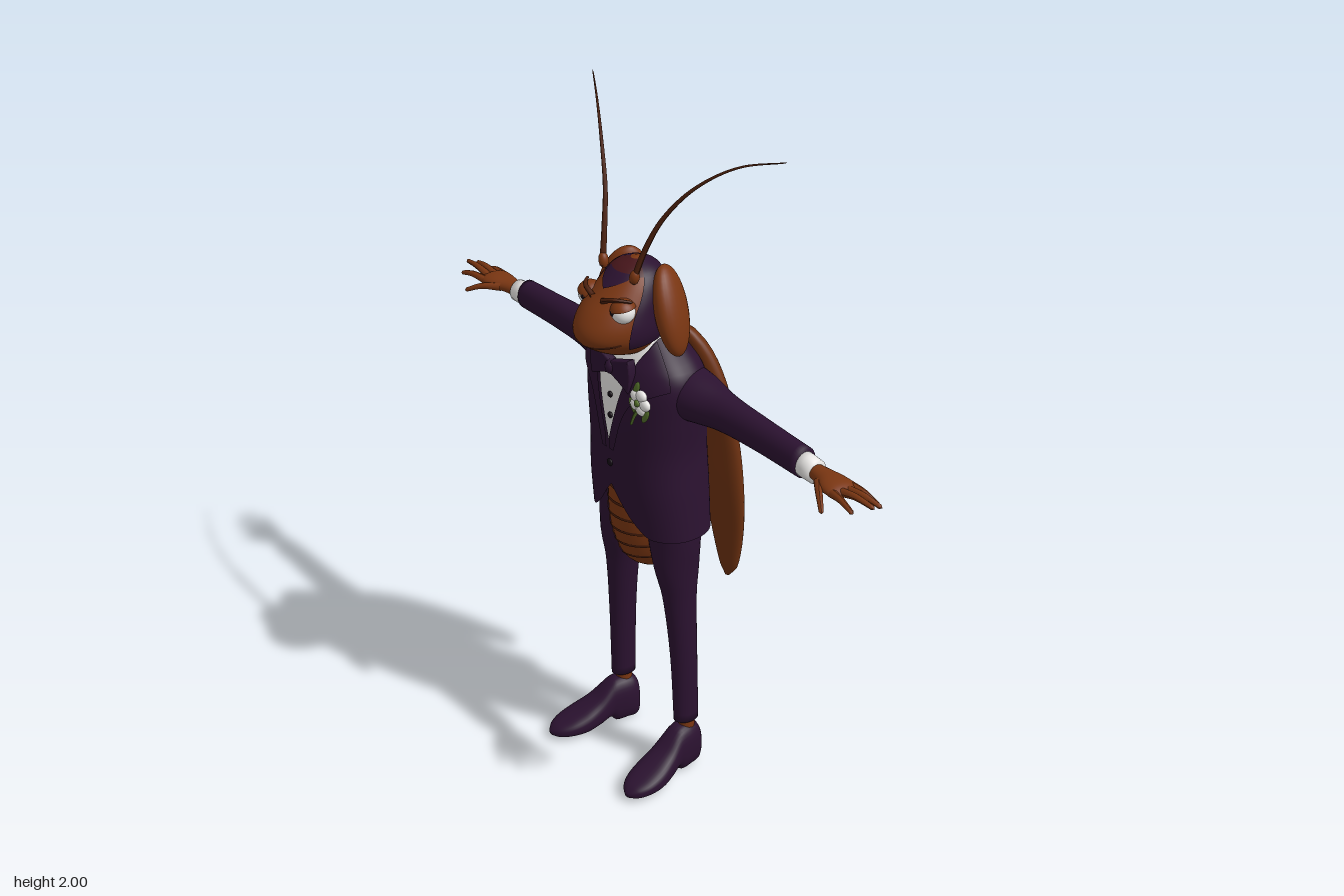
import * as THREE from 'three';
import { mergeVertices } from 'three/addons/utils/BufferGeometryUtils.js';

const mat = (name, color) => {
  const m = new THREE.MeshStandardMaterial({ color, side: THREE.DoubleSide });
  m.name = name;
  return m;
};

// smooth interpolation of a table whose first column is the position
function sample(rows, a) {
  const n = rows.length - 1;
  let i = 0;
  while (i < n - 1 && a > rows[i + 1][0]) i++;
  const p = rows[i], q = rows[i + 1], o = rows[Math.max(i - 1, 0)], r = rows[Math.min(i + 2, n)];
  const h = q[0] - p[0], t = THREE.MathUtils.clamp((a - p[0]) / h, 0, 1), t2 = t * t, t3 = t2 * t;
  return p.slice(1).map((v, k) => {
    const w = q[k + 1], m0 = (w - o[k + 1]) / (q[0] - o[0]), m1 = (r[k + 1] - v) / (r[0] - p[0]);
    return (2 * t3 - 3 * t2 + 1) * v + (t3 - 2 * t2 + t) * h * m0 + (3 * t2 - 2 * t3) * w + (t3 - t2) * h * m1;
  });
}

const spow = (v, p) => Math.sign(v) * Math.abs(v) ** p;

// surface over elliptical sections; rows: [along, centre u, centre v, radius u, radius v]
function surf(rows, { axis = 'y', th = [0, 2 * Math.PI], lo, hi, d = 0, p = 1, nu = 32, nv = 28, cap = true } = {}) {
  const full = th[1] - th[0] > 6.28, pos = [], idx = [];
  const put = (u, a, v) => pos.push(...(axis === 'y' ? [u, a, v] : axis === 'x' ? [a, u, v] : [u, v, a]));
  const lim = (f, def, t) => (f === undefined ? def : typeof f === 'function' ? f(t) : f);
  const caps = full && cap ? 1 : 0;
  for (let j = -caps; j <= nv + caps; j++) {
    const f = THREE.MathUtils.clamp(j / nv, 0, 1), r = j < 0 || j > nv ? 0 : 1;
    for (let i = 0; i <= nu; i++) {
      const t = th[0] + (th[1] - th[0]) * i / nu;
      const a = THREE.MathUtils.lerp(lim(lo, rows[0][0], t), lim(hi, rows.at(-1)[0], t), f);
      const [cu, cv, ru, rv] = sample(rows, a);
      put(cu + r * (ru + d) * spow(Math.sin(t), p), a, cv + r * (rv + d) * spow(Math.cos(t), p));
    }
  }
  const w = nu + 1;
  for (let j = 0; j < nv + 2 * caps; j++) for (let i = 0; i < nu; i++) {
    const a = j * w + i, b = a + 1, c = a + w, e = c + 1;
    idx.push(...(axis === 'y' ? [a, b, c, b, e, c] : [a, c, b, b, c, e]));
  }
  let g = new THREE.BufferGeometry();
  g.setAttribute('position', new THREE.Float32BufferAttribute(pos, 3));
  g.setIndex(idx);
  g = mergeVertices(g, 1e-5);
  g.computeVertexNormals();
  return g;
}

// tube that thins from r0 to r1 and closes at the tip
function taper(points, r0, r1, n = 16, sides = 10) {
  const curve = new THREE.CatmullRomCurve3(points.map(q => new THREE.Vector3(...q)));
  const g = new THREE.TubeGeometry(curve, n, 1, sides), P = g.attributes.position, v = new THREE.Vector3();
  for (let i = 0; i < P.count; i++) {
    const t = Math.floor(i / (sides + 1)) / n, c = curve.getPointAt(t);
    v.fromBufferAttribute(P, i).sub(c).multiplyScalar(t === 1 ? 0 : r0 + (r1 - r0) * t).add(c);
    P.setXYZ(i, v.x, v.y, v.z);
  }
  g.computeVertexNormals();
  return g;
}

const ball = (x, y, z, a, b, c, rx = 0, ry = 0, rz = 0) =>
  new THREE.SphereGeometry(1, 28, 20).scale(a, b, c).rotateX(rx).rotateY(ry).rotateZ(rz).translate(x, y, z);

function mirrored(g) {
  const m = g.clone().scale(-1, 1, 1), a = m.index.array;
  for (let i = 0; i < a.length; i += 3) [a[i], a[i + 1]] = [a[i + 1], a[i]];
  return m;
}

export function createModel() {
  const root = new THREE.Group();
  root.name = 'insectInTuxedo';
  const suit = mat('suit purple', 0x2b1230), skin = mat('skin brown', 0x7a3612), wing = mat('wing brown', 0x6b3010);
  const dark = mat('dark brown', 0x4a1f0c), white = mat('white', 0xe6e4e2), maroon = mat('maroon', 0x45151a);
  const black = mat('black', 0x120a12), green = mat('leaf green', 0x55702c);
  const add = (name, g, m) => {
    const mesh = new THREE.Mesh(g, m);
    mesh.name = name;
    root.add(mesh);
  };
  const pair = (name, g, m) => {
    add(name + 'Left', g, m);
    add(name + 'Right', mirrored(g), m);
  };

  // jacket with a V neck and cutaway hem
  const body = [[0.82, 0, -0.038, 0.2, 0.127], [0.95, 0, -0.03, 0.192, 0.135], [1.08, 0, -0.025, 0.184, 0.135],
    [1.2, 0, -0.02, 0.194, 0.13], [1.29, 0, -0.02, 0.2, 0.123], [1.34, 0, -0.02, 0.185, 0.108],
    [1.38, 0, -0.02, 0.143, 0.088], [1.42, 0, -0.02, 0.092, 0.066]];
  const vee = [[0, 1.09], [0.15, 1.2], [0.29, 1.3], [0.45, 1.36], [0.74, 1.4], [0.95, 1.42], [1, 1.42]];
  const hemCurve = [[0, 0.96], [0.12, 0.93], [0.35, 0.87], [0.6, 0.825], [0.7, 0.82], [1, 0.82]];
  const P = 0.85, side = t => Math.abs(Math.sin(t)) ** P;
  const neckline = t => (Math.cos(t) > 0 ? sample(vee, side(t))[0] : 1.42);
  const hem = t => (Math.cos(t) > 0 ? sample(hemCurve, side(t))[0] : 0.82);
  add('jacket', surf(body, { lo: hem, hi: neckline, p: P, nu: 128, nv: 40, cap: false }), suit);
  add('shirt', surf(body, { lo: 1.0, d: -0.006, p: P, nu: 64 }), white);
  pair('lapel', surf(body, { th: [0.02, 1.1], lo: t => Math.max(neckline(t) - 0.11, 1.08), hi: neckline, d: 0.007, p: P }), suit);
  pair('collar', surf([[1.35, 0, -0.015, 0.1, 0.088], [1.43, 0, -0.015, 0.08, 0.07]], { th: [0.4, Math.PI], nv: 4 }), white);
  for (const y of [1.18, 1.245]) add('shirtButton', ball(0, y, 0.108, 0.009, 0.009, 0.006), black);
  add('jacketButton', ball(0, 1.03, 0.11, 0.011, 0.011, 0.006), black);

  // bow tie
  const bow = new THREE.Shape();
  bow.moveTo(0, 1.345);
  bow.quadraticCurveTo(0.04, 1.36, 0.078, 1.375);
  bow.quadraticCurveTo(0.09, 1.33, 0.078, 1.285);
  bow.quadraticCurveTo(0.04, 1.305, 0, 1.315);
  const bowGeo = mergeVertices(new THREE.ExtrudeGeometry(bow, { depth: 0.015, bevelSize: 0.004, bevelThickness: 0.006 }));
  pair('bowTie', bowGeo.translate(0, 0, 0.09), suit);
  add('bowKnot', ball(0, 1.33, 0.103, 0.018, 0.022, 0.018), suit);

  // buttonhole flower
  for (let i = 0; i < 5; i++) {
    const a = i * 1.257;
    add('petal', ball(0.13 + 0.022 * Math.cos(a), 1.275 + 0.022 * Math.sin(a), 0.105, 0.02, 0.017, 0.012, 0, 0, 0), white);
  }
  add('flowerHeart', ball(0.13, 1.275, 0.116, 0.01, 0.01, 0.006), green);
  add('stem', taper([[0.13, 1.26, 0.105], [0.115, 1.23, 0.112], [0.1, 1.195, 0.113]], 0.006, 0.004), green);
  for (const [x, y, r] of [[0.098, 1.25, 0.6], [0.152, 1.24, -0.5], [0.112, 1.308, -0.4]])
    add('leaf', ball(x, y, 0.103, 0.01, 0.026, 0.007, 0, 0, r), green);

  // segmented abdomen
  const belly = [[0.63, 0, -0.1, 0.012, 0.025], [0.645, 0, -0.09, 0.04, 0.07], [0.68, 0, -0.072, 0.068, 0.108],
    [0.74, 0, -0.055, 0.09, 0.127], [0.82, 0, -0.04, 0.106, 0.13], [0.92, 0, -0.03, 0.112, 0.122], [1.02, 0, -0.03, 0.1, 0.11]];
  add('abdomen', surf(belly), skin);
  for (let y = 0.71; y < 0.95; y += 0.045)
    add('abdomenRing', surf(belly, { th: [-1.5, 1.5], lo: y, hi: y + 0.009, d: 0.003, nv: 2 }), dark);

  // folded wings
  pair('wing', surf([[0.635, 0.175, -0.18, 0.008, 0.008], [0.67, 0.174, -0.183, 0.034, 0.02], [0.8, 0.165, -0.18, 0.068, 0.028],
    [0.95, 0.153, -0.17, 0.086, 0.035], [1.1, 0.138, -0.16, 0.087, 0.035], [1.25, 0.112, -0.145, 0.08, 0.035],
    [1.35, 0.087, -0.125, 0.062, 0.032], [1.41, 0.07, -0.1, 0.037, 0.022], [1.437, 0.06, -0.082, 0.008, 0.008]]), wing);

  // trousers, ankles and shoes
  pair('trouserLeg', surf([[0.17, 0.152, -0.05, 0.03, 0.04], [0.4, 0.146, -0.043, 0.036, 0.042], [0.6, 0.134, -0.035, 0.046, 0.052],
    [0.7, 0.125, -0.03, 0.06, 0.068], [0.8, 0.113, -0.03, 0.08, 0.074], [0.92, 0.1, -0.03, 0.09, 0.08]]), suit);
  pair('ankle', new THREE.CylinderGeometry(0.024, 0.026, 0.08, 20).translate(0.152, 0.16, -0.05), skin);
  const shoe = surf([[-0.095, 0, 0.06, 0.02, 0.04], [-0.085, 0, 0.07, 0.036, 0.07], [-0.05, 0, 0.077, 0.044, 0.077],
    [-0.012, 0, 0.076, 0.043, 0.075], [0.005, 0, 0.08, 0.042, 0.06], [0.05, 0, 0.056, 0.05, 0.046], [0.1, 0, 0.039, 0.056, 0.037],
    [0.15, 0, 0.03, 0.05, 0.026], [0.185, 0, 0.024, 0.032, 0.017], [0.202, 0, 0.02, 0.01, 0.007]], { axis: 'z', p: 0.8, nv: 40 });
  pair('shoe', shoe.rotateY(0.17).translate(0.158, 0, 0), suit);

  // arms, cuffs and hands
  pair('sleeve', surf([[0.1, 1.265, -0.045, 0.085, 0.085], [0.2, 1.268, -0.048, 0.07, 0.074], [0.3, 1.265, -0.054, 0.055, 0.05],
    [0.45, 1.262, -0.056, 0.048, 0.04], [0.62, 1.258, -0.055, 0.045, 0.036]], { axis: 'x' }), suit);
  pair('cuff', surf([[0.61, 1.255, -0.055, 0.036, 0.033], [0.667, 1.252, -0.055, 0.034, 0.031]], { axis: 'x', nv: 2 }), white);
  pair('palm', surf([[0.655, 1.253, -0.055, 0.02, 0.022], [0.7, 1.256, -0.05, 0.021, 0.03], [0.74, 1.258, -0.043, 0.021, 0.042],
    [0.775, 1.258, -0.042, 0.017, 0.044], [0.8, 1.256, -0.044, 0.008, 0.034]], { axis: 'x' }), skin);
  const fingers = [[0.77, -0.075, 0.87, 1.235, -0.088], [0.78, -0.054, 0.902, 1.253, -0.066],
    [0.78, -0.033, 0.908, 1.265, -0.034], [0.77, -0.012, 0.875, 1.25, 0.008], [0.71, -0.022, 0.802, 1.23, 0.047]];
  for (const [x, z, tx, ty, tz] of fingers)
    pair('finger', taper([[x, 1.256, z], [(x + tx) / 2, (1.275 + ty) / 2, (z + tz) / 2 + 0.003], [tx, ty, tz]], 0.0125, 0.006), skin);

  // neck and head
  add('neck', new THREE.CylinderGeometry(0.055, 0.06, 0.14, 28).translate(0, 1.41, -0.005), skin);
  const skull = [[1.365, 0, 0.04, 0.035, 0.04], [1.39, 0, 0.055, 0.068, 0.09], [1.43, 0, 0.075, 0.097, 0.127],
    [1.465, 0, 0.075, 0.106, 0.134], [1.51, 0, 0.063, 0.102, 0.122], [1.555, 0, 0.04, 0.092, 0.1],
    [1.595, 0, 0.024, 0.074, 0.074], [1.62, 0, 0.018, 0.048, 0.047], [1.635, 0, 0.017, 0.008, 0.008]];
  add('head', surf(skull, { nu: 48, nv: 36 }), skin);
  add('mouth', surf(skull, { th: [-1.1, 1.1], lo: t => 1.423 + 0.012 * t * t, hi: t => 1.431 + 0.012 * t * t, d: 0.002, nv: 2 }), dark);
  add('hood', surf(skull, { th: [1.25, 5.03], lo: 1.42, hi: 1.634, d: 0.006 }), suit);
  add('crown', surf(skull, { th: [-1.3, 1.3], lo: 1.605, hi: 1.634, d: 0.004, nv: 10 }), maroon);
  add('foreheadPeak', surf(skull, { th: [-0.7, 0.7], lo: t => 1.572 + 0.04 * Math.abs(t), hi: 1.612, d: 0.005, nv: 10 }), suit);
  pair('headShell', ball(0.108, 1.505, -0.018, 0.04, 0.128, 0.068, 0, 0.5, 0).translate(-0.108, -1.505, 0)
    .rotateZ(0.3).translate(0.108, 1.505, 0), skin);

  // eyes
  pair('eye', ball(0.073, 1.527, 0.117, 0.033, 0.031, 0.033), white);
  pair('pupil', ball(0.066, 1.53, 0.147, 0.009, 0.01, 0.005), black);
  const lid = new THREE.SphereGeometry(0.037, 28, 10, 0, Math.PI * 2, 0, Math.PI * 0.42);
  pair('eyelid', lid.rotateX(0.1).rotateZ(0.2).translate(0.073, 1.528, 0.116), skin);
  pair('brow', taper([[0.02, 1.548, 0.147], [0.06, 1.564, 0.142], [0.1, 1.562, 0.105]], 0.008, 0.004), dark);

  // antennae
  pair('antennaBase', ball(0.068, 1.615, 0.075, 0.014, 0.022, 0.014, 0, 0, -0.2), skin);
  pair('antenna', taper([[0.066, 1.6, 0.08], [0.09, 1.7, 0.055], [0.125, 1.79, 0.025], [0.2, 1.89, -0.02],
    [0.3, 1.965, -0.08], [0.41, 1.998, -0.148]], 0.009, 0.0015, 40, 8), dark);
  return root;
}
